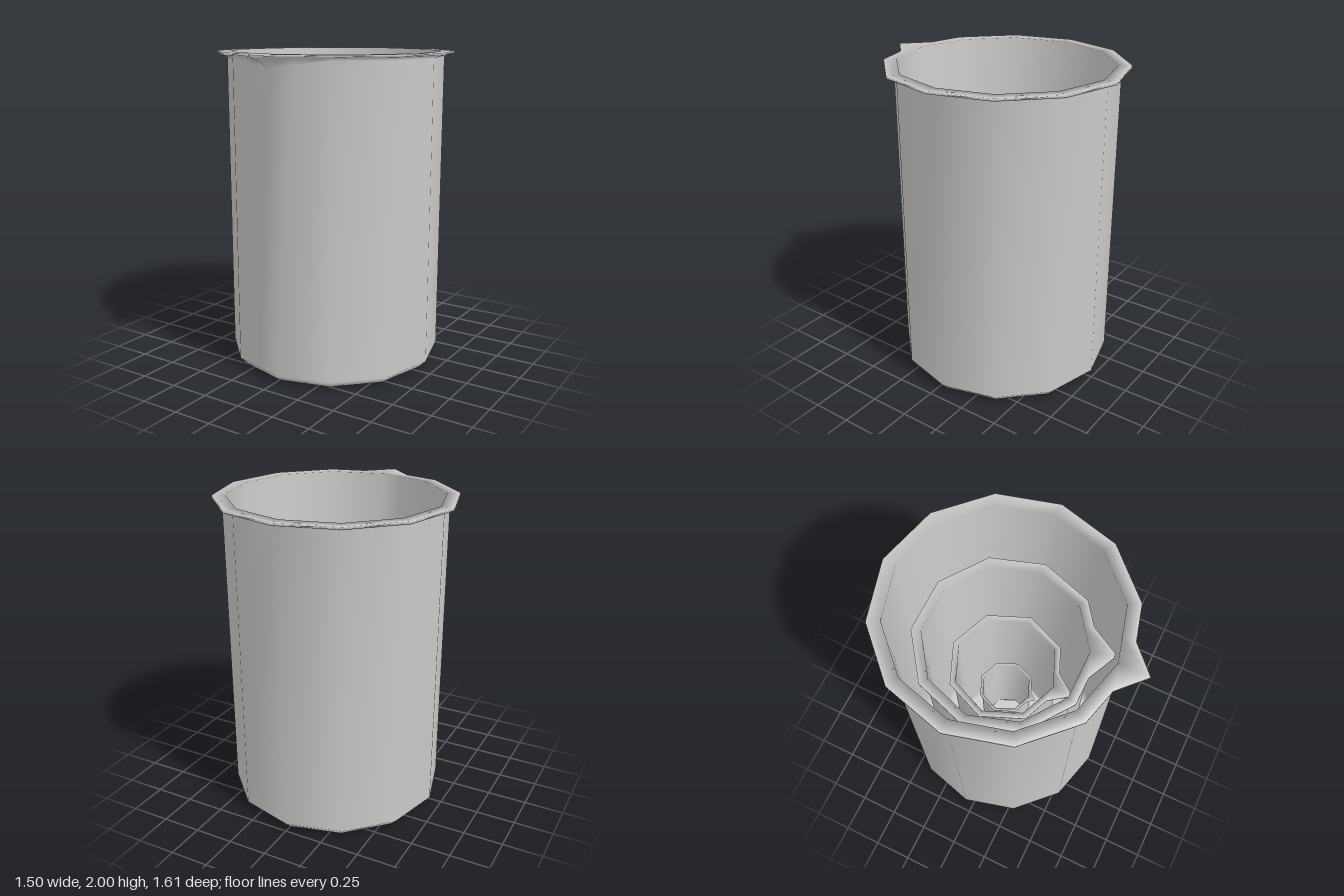
import * as THREE from 'three';

const CENTRE_Z = -0.055;

// One open beaker: polygon rings stacked along a closed wall profile,
// with two extra points beside the spout corner so the rim can be pinched out.
function makeBeaker({ name, sides, radius, base, top, notch, tip }) {
  const s = radius / 0.75;
  const spout = Math.floor(sides / 4);
  const corner = (i) => {
    const a = (2 * Math.PI * i) / sides;
    return [Math.cos(a), Math.sin(a)];
  };
  const between = (i, j, f) => {
    const p = corner(i), q = corner(j);
    return [p[0] + (q[0] - p[0]) * f, p[1] + (q[1] - p[1]) * f];
  };

  // Outline points: x, z and how strongly the spout affects each
  const outline = [];
  for (let i = 0; i < sides; i++) {
    if (i === spout) {
      outline.push({ p: between(i, i - 1, notch), drop: 1 - notch, pull: 0 });
      outline.push({ p: corner(i), drop: 1, pull: 1 });
      outline.push({ p: between(i, i + 1, notch), drop: 1 - notch, pull: 0 });
    } else {
      outline.push({ p: corner(i), drop: 0, pull: 0 });
    }
  }

  // Wall profile from under the base, up the outside, over the rim, down the inside
  const profile = [
    { r: 0, y: base },
    { r: 0.64 * s, y: base },
    { r: 0.69 * s, y: base + 0.05 * s },
    { r: 0.69 * s, y: top - 0.035 * s, drop: 0.045 * s },
    { r: radius, y: top - 0.015 * s, pull: tip - radius },
    { r: radius, y: top, pull: tip - radius },
    { r: 0.668 * s, y: top },
    { r: 0.668 * s, y: base + 0.05 * s },
    { r: 0.62 * s, y: base + 0.02 },
    { r: 0, y: base + 0.02 },
  ];

  const positions = [], index = [], n = outline.length;
  for (const { r, y, drop = 0, pull = 0 } of profile) {
    for (const o of outline) {
      const rr = r + pull * o.pull;
      positions.push(o.p[0] * rr, y - drop * o.drop, o.p[1] * rr + CENTRE_Z);
    }
  }
  for (let j = 0; j < profile.length - 1; j++) {
    for (let i = 0; i < n; i++) {
      const k = (i + 1) % n;
      const a = j * n + i, b = j * n + k, c = a + n, d = b + n;
      if (profile[j].r > 0) index.push(a, c, b);
      if (profile[j + 1].r > 0) index.push(b, c, d);
      // Fans at the centre of the base
      if (profile[j].r === 0) index.push(a, c, d);
      if (profile[j + 1].r === 0) index.push(a, c, b);
    }
  }

  const geometry = new THREE.BufferGeometry();
  geometry.setAttribute('position', new THREE.Float32BufferAttribute(positions, 3));
  geometry.setIndex(index);
  geometry.computeVertexNormals();
  const mesh = new THREE.Mesh(geometry, new THREE.MeshStandardMaterial({ color: 0xcccccc }));
  mesh.name = name;
  return mesh;
}

export function createModel() {
  const group = new THREE.Group();
  group.name = 'nestedBeakers';
  // Largest to smallest, each standing on the floor of the one around it
  const beakers = [
    { name: 'largeBeaker', sides: 12, radius: 0.75, base: 0, top: 2, notch: 0.41, tip: 0.855 },
    { name: 'mediumBeaker', sides: 10, radius: 0.5625, base: 0.022, top: 1.6, notch: 0.49, tip: 0.66 },
    { name: 'smallBeaker', sides: 8, radius: 0.372, base: 0.044, top: 1.2, notch: 0.38, tip: 0.465 },
    { name: 'tinyBeaker', sides: 8, radius: 0.186, base: 0.066, top: 0.8, notch: 0.3, tip: 0.217 },
  ];
  for (const spec of beakers) group.add(makeBeaker(spec));
  return group;
}
